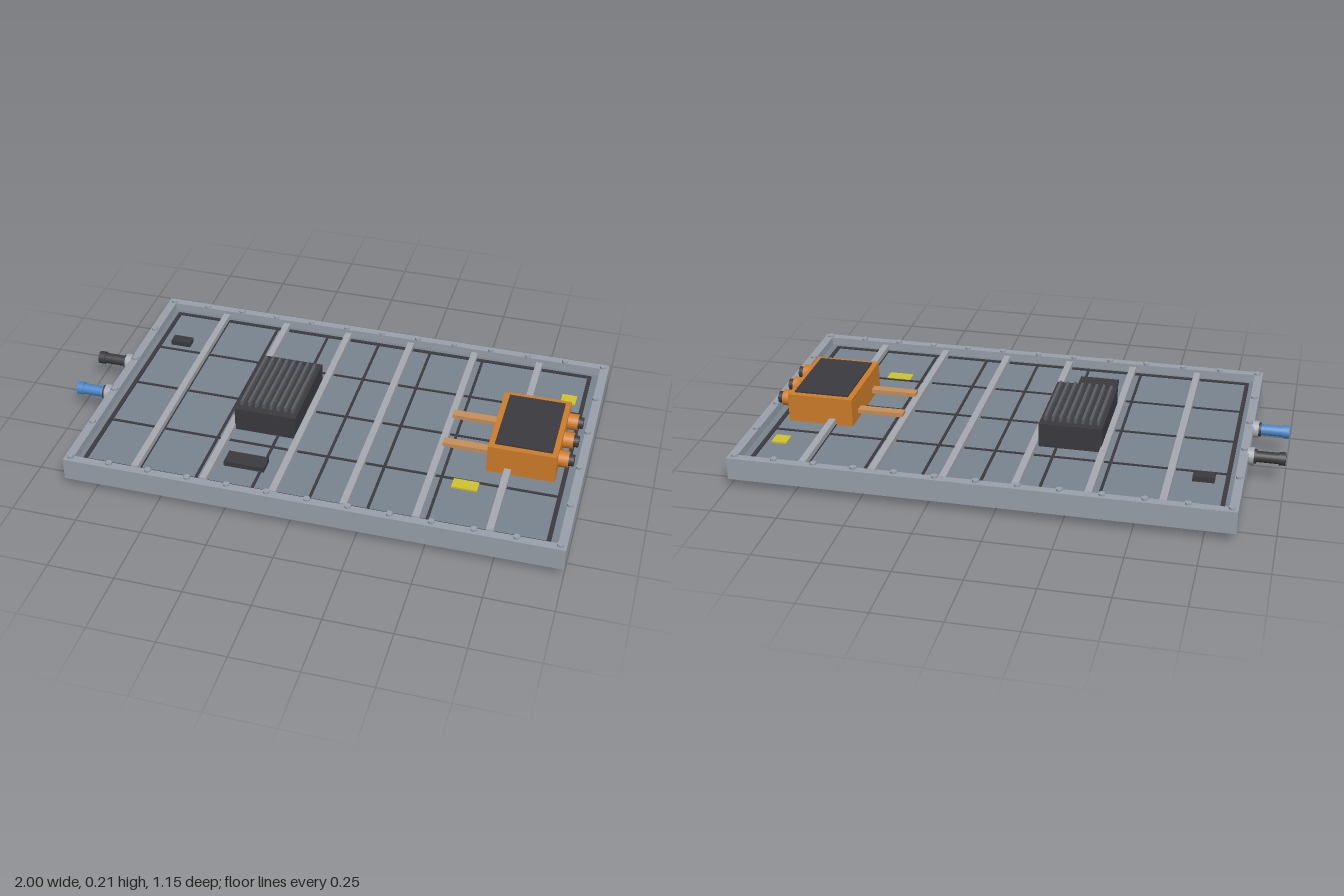
import * as THREE from 'three';

const mat = (name, color) => {
  const m = new THREE.MeshStandardMaterial({ color });
  m.name = name;
  return m;
};

export function createModel() {
  const root = new THREE.Group();
  root.name = 'batteryPack';
  const shell = mat('shell grey', 0x9aa1ab);
  const beam = mat('beam grey', 0xa6aab1);
  const panel = mat('panel grey', 0x7a858f);
  const dark = mat('dark grey', 0x3b3b40);
  const fin = mat('fin grey', 0x5c5e64);
  const orange = mat('orange', 0xcf7d2a);
  const copper = mat('copper', 0xc89058);
  const blue = mat('blue', 0x4a86c8);
  const yellow = mat('yellow', 0xd2c32e);

  const add = (name, geo, m, x, y, z, parent = root) => {
    const mesh = new THREE.Mesh(geo, m);
    mesh.name = name;
    mesh.position.set(x, y, z);
    parent.add(mesh);
    return mesh;
  };
  // box given by its extents on each axis
  const box = (name, m, x0, x1, y0, y1, z0, z1) =>
    add(name, new THREE.BoxGeometry(x1 - x0, y1 - y0, z1 - z0), m,
      (x0 + x1) / 2, (y0 + y1) / 2, (z0 + z1) / 2);
  // cylinder lying along x
  const rod = (name, m, r, x0, x1, y, z) =>
    add(name, new THREE.CylinderGeometry(r, r, x1 - x0, 24).rotateZ(Math.PI / 2), m, (x0 + x1) / 2, y, z);

  // tray with a raised rim
  box('tray', shell, -0.865, 1, 0.035, 0.085, -0.575, 0.575);
  const outline = (s, x0, x1, z) => {
    s.moveTo(x0, -z); s.lineTo(x1, -z); s.lineTo(x1, z); s.lineTo(x0, z); s.closePath();
    return s;
  };
  const rimShape = outline(new THREE.Shape(), -0.865, 1, 0.575);
  rimShape.holes.push(outline(new THREE.Path(), -0.832, 0.967, 0.542));
  add('rim', new THREE.ExtrudeGeometry(rimShape, { depth: 0.037, bevelEnabled: false }).rotateX(-Math.PI / 2),
    shell, 0, 0.085, 0);
  box('floor', panel, -0.832, 0.967, 0.085, 0.09, -0.542, 0.542);

  // dark seams between the modules
  for (let i = 0; i <= 8; i++) {
    const x = -0.805 + i * 0.217, w = i === 0 || i === 8 ? 0.008 : 0.005;
    box('moduleSeam', dark, x - w, x + w, 0.089, 0.094, -0.52, 0.52);
  }
  for (let i = 0; i <= 4; i++) {
    const z = -0.515 + i * 0.2575, w = i % 4 === 0 ? 0.008 : 0.005;
    box('moduleSeam', dark, -0.81, 0.936, 0.089, 0.0935, z - w, z + w);
  }

  // cross beams
  for (let i = 0; i < 6; i++) {
    const x = -0.6 + i * 0.265;
    box('crossBeam', beam, x - 0.013, x + 0.013, 0.088, 0.116, -0.53, 0.53);
  }

  // rim bolts
  const boltGeo = new THREE.CylinderGeometry(0.012, 0.012, 0.012, 12);
  const bolt = (x, z) => add('rimBolt', boltGeo, shell, x, 0.124, z);
  for (let i = 0; i < 13; i++) for (const s of [-1, 1]) bolt(-0.842 + i * 0.1515, s * 0.552);
  for (const x of [-0.847, 0.977])
    for (const z of [-0.33, -0.11, 0.11, 0.33]) bolt(x, z);

  // underside rails and ribs
  for (const z of [-0.36, 0, 0.36])
    box('bottomRail', shell, -0.8, 0.925, 0.008, 0.036, z - 0.013, z + 0.013);
  for (let i = 0; i < 13; i++) {
    const x = -0.757 + i * 0.1372;
    box('bottomRib', shell, x - 0.009, x + 0.009, 0.011, 0.036, -0.52, 0.52);
    // rib feet under each rail
    for (const z of [-0.36, 0, 0.36])
      box('ribFoot', shell, x - 0.009, x + 0.009, 0, 0.012, z - 0.013, z + 0.013);
  }

  // finned control unit
  box('controlUnit', dark, -0.325, -0.085, 0.09, 0.185, -0.185, 0.185);
  for (let i = 0; i < 8; i++) {
    const x = -0.305 + i * 0.0285;
    box('coolingFin', fin, x - 0.005, x + 0.005, 0.184, 0.205, -0.155, 0.155);
  }

  // junction box with lid, connectors and bus bars
  box('junctionBox', orange, 0.645, 0.9, 0.09, 0.202, -0.178, 0.178);
  box('junctionLid', dark, 0.667, 0.88, 0.2, 0.208, -0.155, 0.155);
  for (const z of [-0.117, 0, 0.117]) {
    rod('connectorCollar', orange, 0.031, 0.895, 0.938, 0.157, z);
    rod('connectorCore', dark, 0.022, 0.93, 0.957, 0.157, z);
  }
  for (const z of [-0.09, 0.09])
    box('busBar', copper, 0.465, 0.65, 0.114, 0.13, z - 0.018, z + 0.018);

  // coolant pipes
  for (const [z, m] of [[0.108, blue], [-0.112, dark]]) {
    rod('pipeFlange', beam, 0.033, -0.884, -0.86, 0.1, z);
    rod('pipeClamp', dark, 0.027, -0.893, -0.88, 0.1, z);
    rod('coolantPipe', m, 0.021, -0.99, -0.885, 0.1, z);
    rod('pipeEnd', m, 0.025, -1, -0.975, 0.1, z);
  }

  // small covers and warning labels
  box('serviceCover', dark, -0.76, -0.68, 0.09, 0.11, -0.332, -0.288);
  box('serviceCover', dark, -0.295, -0.14, 0.09, 0.11, 0.343, 0.41);
  box('warningLabel', yellow, 0.845, 0.903, 0.09, 0.097, -0.368, -0.312);
  box('warningLabel', yellow, 0.542, 0.638, 0.09, 0.097, 0.26, 0.31);

  return root;
}
